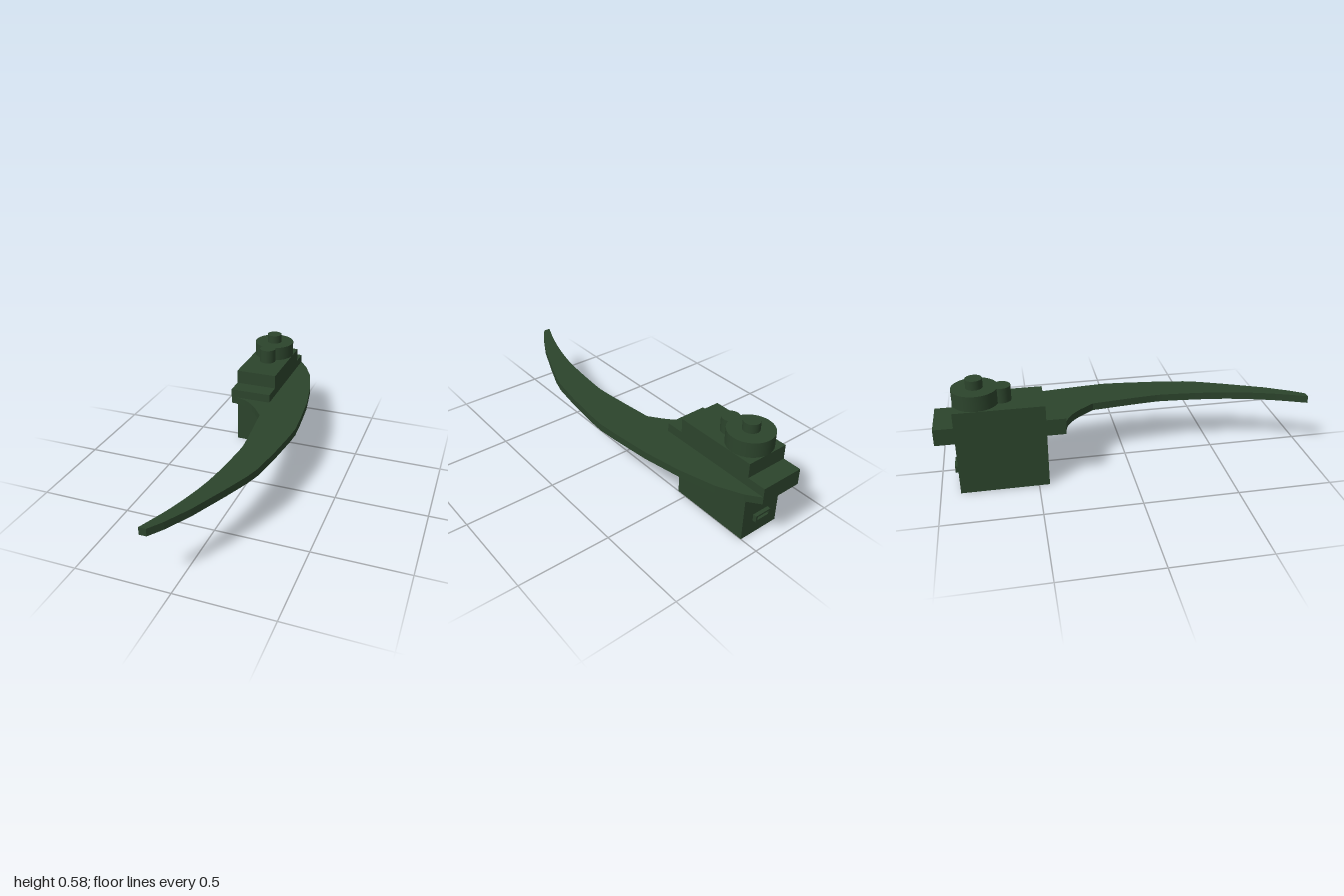
import * as THREE from 'three';

export function createModel() {
  const model = new THREE.Group();
  const material = new THREE.MeshStandardMaterial({ color: 0x2c442c });

  const add = (name, geometry, x = 0, y = 0, z = 0) => {
    const mesh = new THREE.Mesh(geometry, material);
    mesh.name = name;
    mesh.position.set(x, y, z);
    model.add(mesh);
  };
  // Box given by its minimum and maximum corners
  const box = (name, [x0, y0, z0], [x1, y1, z1]) =>
    add(name, new THREE.BoxGeometry(x1 - x0, y1 - y0, z1 - z0),
      (x0 + x1) / 2, (y0 + y1) / 2, (z0 + z1) / 2);
  // Upright cylinder between two heights
  const cylinder = (name, r, y0, y1, z) =>
    add(name, new THREE.CylinderGeometry(r, r, y1 - y0, 40), -0.118, (y0 + y1) / 2, z);
  const curve = (points, n) =>
    new THREE.SplineCurve(points.map(p => new THREE.Vector2(...p))).getPoints(n);

  // Motor case and mounting flange
  box('motorCase', [-0.237, 0, -0.9], [0, 0.457, -0.445]);
  box('mountingFlange', [-0.237, 0.33, -1], [0, 0.378, -0.345]);

  // Gear housing, small gear bump and output shaft
  cylinder('gearHousing', 0.117, 0.457, 0.537, -0.784);
  cylinder('gearBump', 0.047, 0.457, 0.537, -0.653);
  cylinder('outputShaft', 0.043, 0.537, 0.585, -0.784);

  // Curved blade, outlined in plan as (x, z)
  const outer = curve([[0, -1], [0.1, -0.846], [0.19, -0.52], [0.232, -0.164], [0.232, 0],
    [0.19, 0.344], [0.138, 0.513], [0, 0.84], [-0.1, 1]], 14);
  const inner = curve([[-0.138, 1], [-0.063, 0.804], [0, 0.556], [0.032, 0.265],
    [0.032, 0.13], [0, -0.175]], 18);
  const notch = curve([[0, -0.175], [-0.074, -0.27], [-0.153, -0.33], [-0.237, -0.348]], 8);
  const outline = [new THREE.Vector2(-0.237, -1), ...outer, ...inner, ...notch.slice(1)];
  const blade = new THREE.ExtrudeGeometry(new THREE.Shape(outline), { depth: 0.04, bevelEnabled: false });
  blade.rotateX(Math.PI / 2);
  add('blade', blade, 0, 0.33, 0);

  // Hollow cable socket on the back
  const rect = (w, h, type) => new type([[-w, -h], [w, -h], [w, h], [-w, h]]
    .map(p => new THREE.Vector2(...p)));
  const socket = rect(0.049, 0.019, THREE.Shape);
  socket.holes.push(rect(0.037, 0.009, THREE.Path));
  add('cableSocket', new THREE.ExtrudeGeometry(socket, { depth: 0.025, bevelEnabled: false }),
    -0.118, 0.102, -0.92);

  return model;
}
